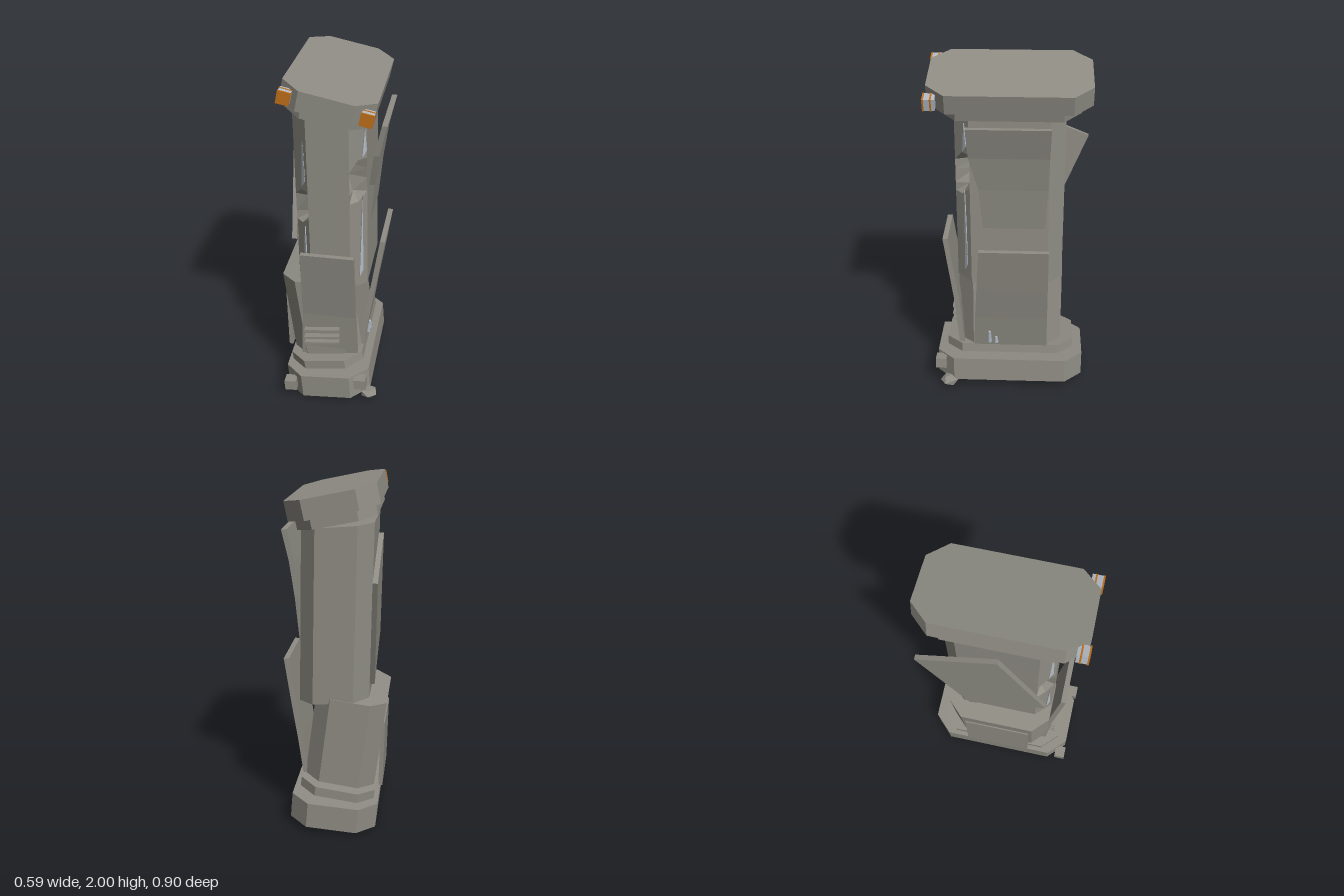
import * as THREE from 'three';

const mat = (name, color) => {
  const m = new THREE.MeshStandardMaterial({ color });
  m.name = name;
  return m;
};

// Flat-shaded solid through rings ordered bottom to top, each running from +x towards -z
function loft(rings) {
  const pos = [];
  const tri = (a, b, c) => pos.push(...a, ...b, ...c);
  const n = rings[0].length;
  for (let k = 0; k < rings.length - 1; k++) {
    for (let i = 0; i < n; i++) {
      const j = (i + 1) % n;
      tri(rings[k][i], rings[k][j], rings[k + 1][j]);
      tri(rings[k][i], rings[k + 1][j], rings[k + 1][i]);
    }
  }
  const top = rings[rings.length - 1], bottom = rings[0];
  for (let i = 1; i < n - 1; i++) {
    tri(top[0], top[i], top[i + 1]);
    tri(bottom[0], bottom[i + 1], bottom[i]);
  }
  const g = new THREE.BufferGeometry();
  g.setAttribute('position', new THREE.Float32BufferAttribute(pos, 3));
  g.computeVertexNormals();
  return g;
}

// Chamfered rectangle with an extra point on both front chamfers, which can be pushed in
function octagon(y, hx, hz, c, { cx = 0, slope = 0, left = 0, right = 0 } = {}) {
  const a = hx - c, b = hz - c, mx = hx - c / 2, mz = hz - c / 2;
  return [
    [hx, b], [hx, -b], [a, -hz], [-a, -hz], [-hx, -b], [-hx, b],
    [-mx + left, mz - left], [-a, hz], [a, hz], [mx - right, mz - right],
  ].map(([x, z]) => [x + cx, y + slope * x, z]);
}

// Bent slab facing +x; rows are [outer x, y, z from, z to], bottom to top
const slab = (rows, t) => loft(rows.map(([o, y, a, b]) =>
  [[o, y, b], [o, y, a], [o - t, y, a], [o - t, y, b]]));

export function createModel() {
  const group = new THREE.Group();
  const stone = mat('stone', 0x8f8d84);
  const pale = mat('pale edge', 0xb2bac4);
  const amber = mat('amber', 0xc0701c);

  const add = (name, geo, m, p = [0, 0, 0], r = [0, 0, 0]) => {
    const mesh = new THREE.Mesh(geo, m);
    mesh.name = name;
    mesh.position.set(...p);
    mesh.rotation.set(...r);
    group.add(mesh);
    return mesh;
  };

  // Tilted tiers: name, width, height, half depth, chamfer, centre x, centre y, tilt
  const tiers = [
    ['base', 0.5, 0.15, 0.445, 0.105, -0.01, 0.105, 0.08],
    ['baseStep', 0.435, 0.055, 0.385, 0.095, -0.027, 0.225, 0.14],
    ['lowerShaft', 0.41, 0.53, 0.31, 0.09, -0.065, 0.505, 0.13],
    ['capStep', 0.44, 0.06, 0.385, 0.095, -0.02, 1.813, -0.204],
    ['cap', 0.5, 0.11, 0.445, 0.105, -0.003, 1.896, -0.204],
  ];
  for (const [name, w, h, hz, c, x, y, tilt] of tiers) {
    const geo = loft([octagon(-h / 2, w / 2, hz, c), octagon(h / 2, w / 2, hz, c)]);
    add(name, geo, stone, [x, y, 0], [0, 0, tilt]);
  }

  // Upper shaft, with a chip knocked out of each front chamfer
  const chips = [
    // y, left chip depth, right chip depth
    [0.755, 0, 0], [1.13, 0, 0], [1.18, 0.06, 0], [1.29, 0.03, 0],
    [1.34, 0, 0.035], [1.42, 0, 0.07], [1.48, 0, 0.08], [1.54, 0, 0], [1.76, 0, 0],
  ];
  add('upperShaft', loft(chips.map(([y, left, right]) => octagon(y, 0.2, 0.305, 0.085, {
    cx: -0.02 * (y - 0.755), slope: -0.08 * (y > 1.7) - 0.08 * (y < 0.8), left, right,
  }))), stone);

  // Pale slivers where the chamfers have split
  const sliver = (name, side, y0, y1, w, u) => {
    const s = new THREE.Shape([
      new THREE.Vector2(-w / 2, y0), new THREE.Vector2(w / 2, y0 + 0.04), new THREE.Vector2(0, y1),
    ]);
    const g = new THREE.ExtrudeGeometry(s, { depth: 0.006, bevelEnabled: false });
    add(name, g, pale, [side * (0.158 + u) - 0.008, 0, 0.263 - u], [0, side * Math.PI / 4, 0]);
  };
  sliver('rightSplit', 1, 0.8, 1.32, 0.025, 0.015);
  sliver('rightUpperSplit', 1, 1.55, 1.72, 0.03, 0.02);
  sliver('leftSplit', -1, 0.85, 1.12, 0.025, -0.02);
  sliver('leftUpperSplit', -1, 1.36, 1.74, 0.03, -0.015);

  // Leaning and bent wall panels
  add('rightLowerPanel', slab([
    [0.185, 0.28, -0.225, 0.215], [0.215, 0.5, -0.225, 0.205],
    [0.25, 0.72, -0.225, 0.19], [0.29, 0.99, -0.225, 0.172],
  ], 0.03), stone);
  add('rightUpperPanel', slab([
    [0.2, 1.1, -0.2, 0.15], [0.222, 1.35, -0.215, 0.17],
    [0.25, 1.55, -0.22, 0.22], [0.29, 1.73, -0.225, 0.23],
  ], 0.03), stone);
  add('frontPanel', slab([
    [0.305, 0.24, -0.16, 0.18], [0.33, 0.55, -0.15, 0.165], [0.39, 0.99, -0.142, 0.162],
  ], 0.03), stone, [0, 0, 0], [0, -Math.PI / 2, 0]);
  add('leftUpperPanel', new THREE.BoxGeometry(0.028, 0.71, 0.49), stone,
    [-0.228, 1.26, -0.085], [-0.39, 0, 0.04]);
  add('leftLowerPanel', new THREE.BoxGeometry(0.024, 0.4, 0.4), stone,
    [-0.276, 0.41, 0], [0, 0, 0.025]);

  // Grille bars on the front panel
  for (const y of [0.45, 0.4, 0.36]) {
    add('grilleBar', new THREE.BoxGeometry(0.21, 0.016, 0.04), stone, [-0.05, y, 0.335], [0, 0, 0.12]);
  }

  // Small studs at the foot of the right panel
  for (const [z, h] of [[0.12, 0.08], [0.08, 0.04]]) {
    add('stud', new THREE.CylinderGeometry(0.008, 0.014, h, 6), pale, [0.202, 0.31 + h / 2, z], [0, 0, -0.12]);
  }

  // Lamps on the cap corners, with amber faces
  for (const [x, y] of [[-0.21, 1.94], [0.21, 1.85]]) {
    const r = [0, 0, -0.2];
    add('lampBody', new THREE.BoxGeometry(0.066, 0.066, 0.06), pale, [x, y, 0.418], r);
    add('lampFace', new THREE.BoxGeometry(0.07, 0.07, 0.009), amber, [x, y, 0.45], r);
    add('lampSide', new THREE.BoxGeometry(0.07, 0.07, 0.009), amber, [x, y, 0.41], r);
  }

  // Dead lamp blocks on the base corners
  for (const [x, y] of [[-0.225, 0.092], [0.195, 0.155]]) {
    add('baseBlock', new THREE.BoxGeometry(0.07, 0.065, 0.065), stone, [x, y, 0.42], [0, 0, 0.08]);
  }

  // Rubble beside and under the base
  const rubble = [
    [0.24, 0.045, 0.37, 0.055, 0.032], [0.1, 0.024, 0.3, 0.06, 0.02],
    [-0.02, 0.02, -0.06, 0.045, 0.02],
  ];
  for (const [x, y, z, r, h] of rubble) {
    add('rubble', new THREE.IcosahedronGeometry(1, 0), stone, [x, y, z], [0, x * 9, 0]).scale.set(r, h, r);
  }
  return group;
}
